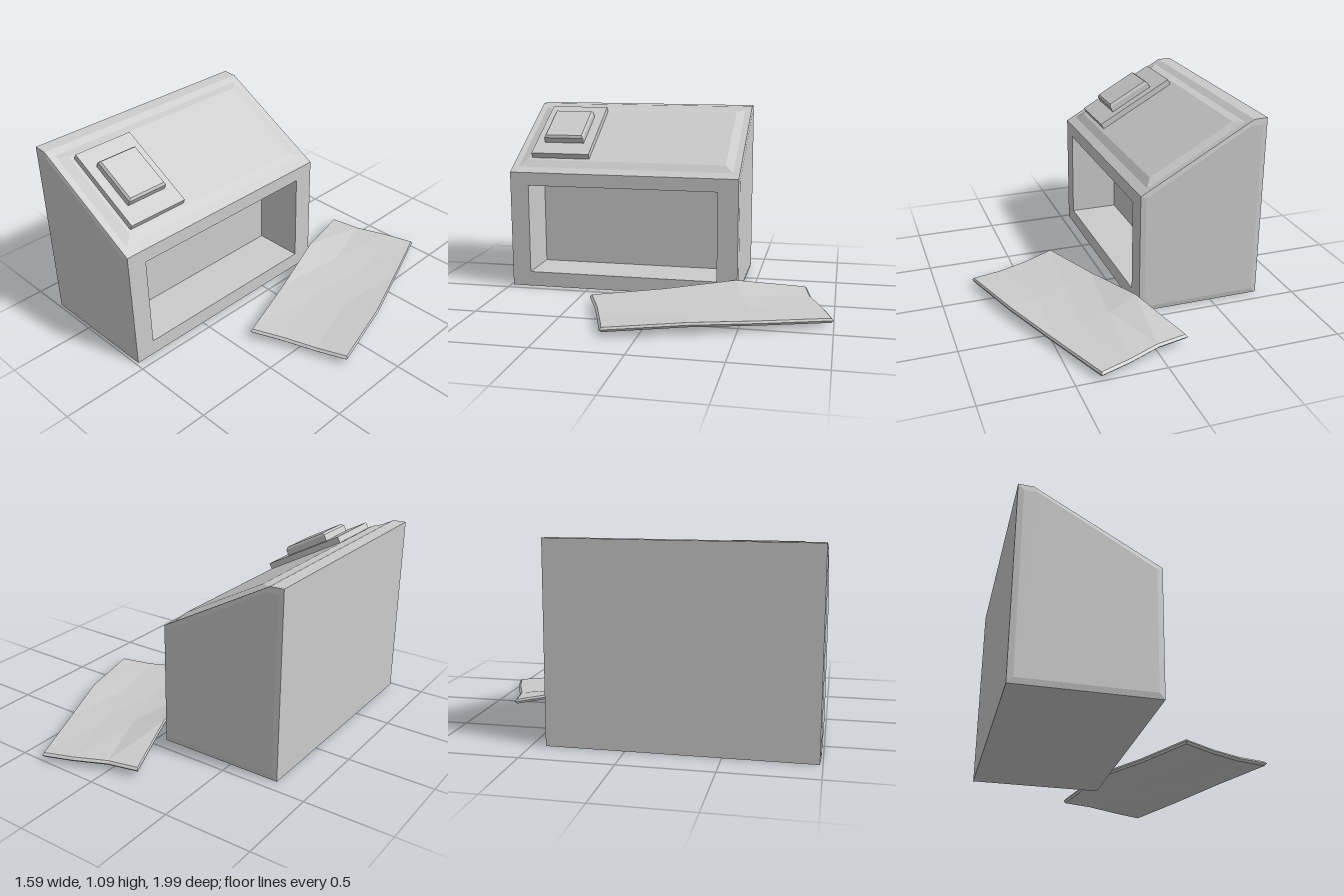
import * as THREE from 'three';

const material = new THREE.MeshStandardMaterial({ color: 0xcccccc, flatShading: true });

// Closed solid through rings of equal point count, capped at both ends
function loft(name, rings) {
  const pos = [];
  const tri = (a, b, c) => {
    const n = b.clone().sub(a).cross(c.clone().sub(a));
    if (n.length() > 1e-9) for (const p of [a, b, c]) pos.push(p.x, p.y, p.z);
  };
  const count = rings[0].length;
  for (let i = 0; i < rings.length - 1; i++) {
    for (let j = 0; j < count; j++) {
      const k = (j + 1) % count;
      tri(rings[i][j], rings[i][k], rings[i + 1][k]);
      tri(rings[i][j], rings[i + 1][k], rings[i + 1][j]);
    }
  }
  const first = rings[0], last = rings[rings.length - 1];
  for (let j = 1; j < count - 1; j++) {
    tri(first[0], first[j + 1], first[j]);
    tri(last[0], last[j], last[j + 1]);
  }
  const g = new THREE.BufferGeometry();
  g.setAttribute('position', new THREE.Float32BufferAttribute(pos, 3));
  g.computeVertexNormals();
  const mesh = new THREE.Mesh(g, material);
  mesh.name = name;
  return mesh;
}

// Cabinet cross-section; "depth" sinks the front opening, "inset" shrinks the outline
function cabinetRing(z, depth = 0, inset = 0) {
  const cx = -0.425, cy = 0.5;
  return [
    [-0.795, 0], [-0.055, 0],
    [-0.055, 0.09], [-0.055 - depth, 0.09], [-0.055 - depth, 0.635], [-0.055, 0.635],
    [-0.055, 0.715], [-0.715, 1.085], [-0.795, 1.088],
  ].map(([x, y]) => new THREE.Vector3(
    cx + (x - cx) * (1 - inset / 0.37), cy + (y - cy) * (1 - inset / 0.5), z));
}

// Rectangle at height y, for parts lying on the sloped top
const rectRing = (y, x0, x1, z0, z1) =>
  [[x0, z1], [x1, z1], [x1, z0], [x0, z0]].map(([x, z]) => new THREE.Vector3(x, y, z));

// Loose bent sheet: a 3 x 3 box bent over a small grid of edge points and heights
function makeDoor() {
  const rows = [
    [[-0.18, -0.83], [0, -0.865], [0.19, -0.945], [0.36, -1.0]],
    [[-0.04, -0.42], [0.143, -0.487], [0.327, -0.553], [0.515, -0.62]],
    [[0.105, -0.01], [0.29, -0.09], [0.475, -0.17], [0.665, -0.25]],
    [[0.245, 0.40], [0.43, 0.315], [0.61, 0.25], [0.79, 0.19]],
  ];
  const heights = [
    [0.06, 0.055, 0.05, 0.045],
    [0.115, 0.07, 0.055, 0.055],
    [0.08, 0.06, 0.055, 0.07],
    [0.06, 0.05, 0.045, 0.055],
  ];
  const g = new THREE.BoxGeometry(3, 2, 3, 3, 2, 3);
  const p = g.attributes.position;
  for (let i = 0; i < p.count; i++) {
    const s = Math.round(p.getX(i) + 1.5), t = Math.round(p.getZ(i) + 1.5);
    const level = Math.round(p.getY(i));
    // top and bottom are slightly smaller than the rim
    const k = level === 0 ? 1 : 0.98;
    const [x, z] = rows[t][s];
    p.setXYZ(i, 0.305 + (x - 0.305) * k, heights[t][s] - 0.013 + level * 0.013, -0.31 + (z + 0.31) * k);
  }
  g.computeVertexNormals();
  const mesh = new THREE.Mesh(g, material);
  mesh.name = 'detachedDoor';
  return mesh;
}

export function createModel() {
  const model = new THREE.Group();
  model.name = 'cabinetWithDoor';

  // Wedge-topped cabinet with an open compartment facing +x
  model.add(loft('cabinet', [
    cabinetRing(-0.43, 0, 0.03), cabinetRing(-0.424),
    cabinetRing(-0.3), cabinetRing(-0.3, 0.3),
    cabinetRing(0.87, 0.3), cabinetRing(0.87),
    cabinetRing(0.985), cabinetRing(0.991, 0, 0.03),
  ]));

  // Parts on the slope, built flat and then tilted
  const top = new THREE.Group();
  top.name = 'slopedTop';
  top.position.set(-0.385, 0.9, 0);
  top.rotation.z = -Math.atan2(0.37, 0.66);
  top.add(loft('raisedPanel', [
    rectRing(0, -0.333, 0.321, -0.385, 0.945),
    rectRing(0.018, -0.286, 0.271, -0.335, 0.895),
  ]));
  top.add(loft('buttonPlate', [
    rectRing(0.005, -0.264, 0.25, 0.51, 0.875),
    rectRing(0.054, -0.264, 0.25, 0.51, 0.875),
  ]));
  top.add(loft('button', [
    rectRing(0.05, -0.15, 0.137, 0.568, 0.818),
    rectRing(0.09, -0.15, 0.137, 0.568, 0.818),
    rectRing(0.104, -0.14, 0.125, 0.578, 0.808),
  ]));
  model.add(top);

  model.add(makeDoor());
  return model;
}
